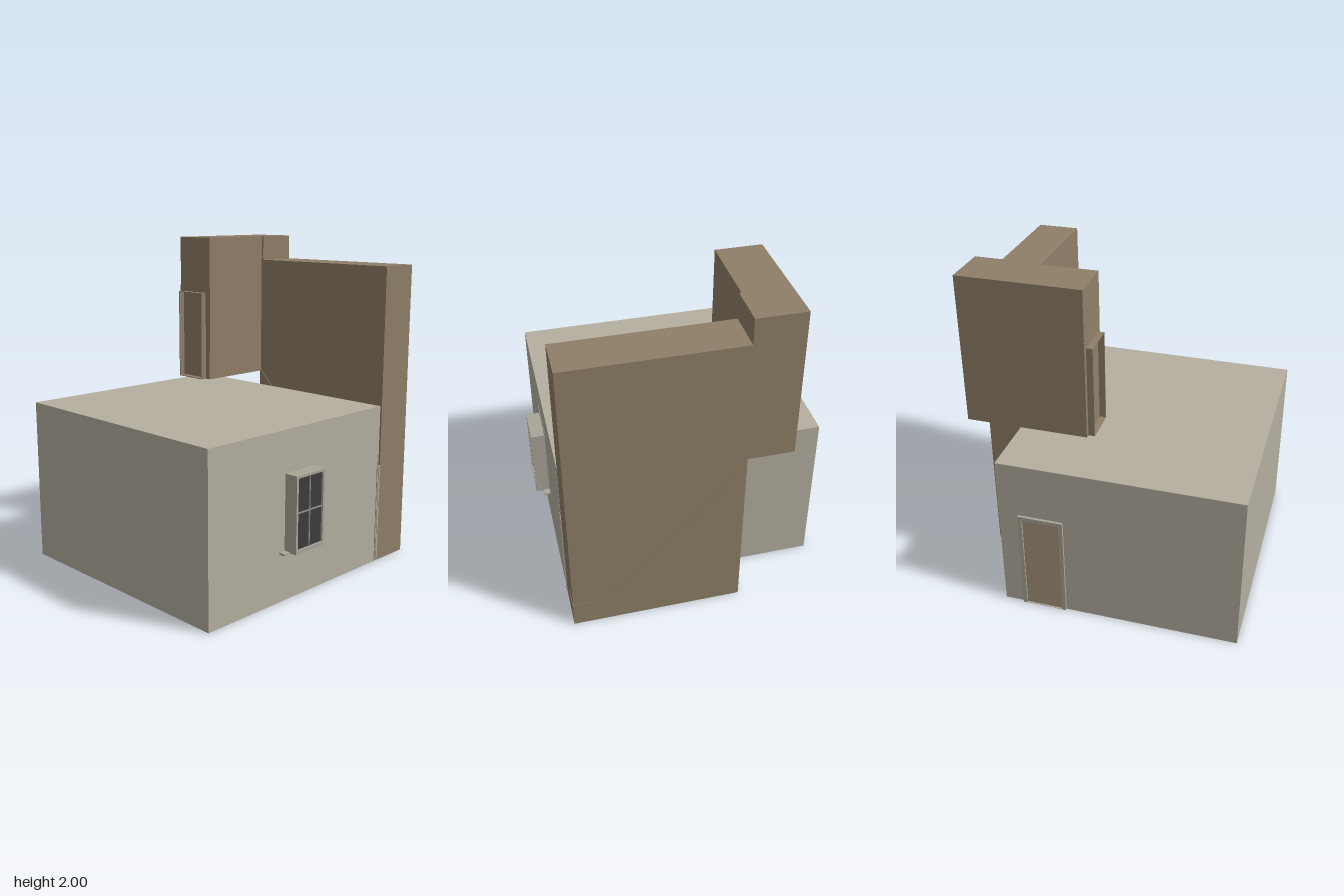
import * as THREE from 'three';

const mat = (color) => new THREE.MeshStandardMaterial({ color, flatShading: true });

export function createModel() {
  const model = new THREE.Group();
  const plaster = mat(0xb5afa0), brown = mat(0x8f7f68), trim = mat(0xaaa598);
  const doorTan = mat(0xa8957f), glass = mat(0x3c3c3c), bar = mat(0x909090);

  // Box given by its minimum and maximum on each axis
  function box(name, material, [x0, x1], [y0, y1], [z0, z1], parent = model) {
    const mesh = new THREE.Mesh(new THREE.BoxGeometry(x1 - x0, y1 - y0, z1 - z0), material);
    mesh.position.set((x0 + x1) / 2, (y0 + y1) / 2, (z0 + z1) / 2);
    mesh.name = name;
    parent.add(mesh);
    return mesh;
  }

  // Rectangular surround, extruded along +z, standing on y = 0 and centred on x
  function surround(name, material, width, height, depth, border, sill) {
    const w = width / 2, i = w - border;
    const shape = new THREE.Shape([[-w, 0], [w, 0], [w, height], [-w, height]].map((p) => new THREE.Vector2(...p)));
    shape.holes.push(new THREE.Path([[-i, sill], [-i, height - border], [i, height - border], [i, sill]].map((p) => new THREE.Vector2(...p))));
    const mesh = new THREE.Mesh(new THREE.ExtrudeGeometry(shape, { depth, bevelEnabled: false }), material);
    mesh.name = name;
    return mesh;
  }

  // Main volumes: room, stairwell and the upper corridor above them
  box('room', plaster, [-0.82, 0.745], [0, 1], [-0.585, 0.86]);
  box('stairwell', brown, [-0.28, 0.745], [0, 1.845], [-0.858, -0.6]);
  box('upperCorridor', brown, [-0.555, -0.278], [1.09, 2], [-0.858, -0.12]);
  box('stairwellHeader', brown, [-0.279, -0.265], [1.84, 2], [-0.858, -0.6]);

  // Open doorway at the corridor end
  box('corridorArchitrave', brown, [-0.56, -0.285], [1.092, 1.69], [-0.125, -0.118]);
  const niche = surround('corridorDoorway', brown, 0.215, 0.56, 0.038, 0.005, 0.005);
  niche.position.set(-0.4225, 1.09, -0.118);
  model.add(niche);

  // Room door on the right wall
  const roomDoor = new THREE.Group();
  roomDoor.name = 'roomDoor';
  roomDoor.add(surround('doorFrame', trim, 0.275, 0.655, 0.016, 0.025, 0.002));
  box('doorPanel', doorTan, [-0.113, 0.113], [0.002, 0.63], [0, 0.005], roomDoor);
  roomDoor.rotation.y = -Math.PI / 2;
  roomDoor.position.set(-0.82, 0.003, -0.3275);
  model.add(roomDoor);

  // Bay window on the left wall: local z points out of the wall
  const bay = new THREE.Group();
  bay.name = 'window';
  const frame = surround('windowFrame', trim, 0.24, 0.455, 0.085, 0.015, 0.022);
  frame.position.y = 0.295;
  bay.add(frame);
  box('windowGlass', glass, [-0.106, 0.106], [0.315, 0.736], [0, 0.072], bay);
  box('windowMullion', bar, [-0.003, 0.003], [0.315, 0.736], [0.07, 0.079], bay);
  box('windowRail', bar, [-0.106, 0.106], [0.528, 0.535], [0.07, 0.079], bay);
  box('windowSill', trim, [-0.163, 0.163], [0.288, 0.3], [0, 0.04], bay);
  box('windowLintel', plaster, [-0.155, 0.155], [0.757, 0.797], [0, 0.002], bay);
  bay.rotation.y = Math.PI / 2;
  bay.position.set(0.745, 0, 0.1525);
  model.add(bay);

  // Connecting door in the gap between room and stairwell
  const link = surround('connectingDoorFrame', trim, 0.245, 0.62, 0.014, 0.02, 0.002);
  link.position.set(0.625, 0.003, -0.6);
  model.add(link);
  box('gapTrim', trim, [0.745, 0.75], [0.003, 0.655], [-0.578, -0.57]);

  // Stair flight showing through the rear wall
  const steps = 12, rise = 0.07, run = 0.065;
  const toothShape = new THREE.Shape([[0, 0], [run, 0], [0, rise]].map((p) => new THREE.Vector2(...p)));
  const toothGeometry = new THREE.ExtrudeGeometry(toothShape, { depth: 0.004, bevelEnabled: false });
  for (let i = 0; i < steps; i++) {
    const tooth = new THREE.Mesh(toothGeometry, brown);
    tooth.name = 'stairStep';
    tooth.position.set(0.5 - (i + 1) * run, 0.21 + i * rise, -0.86);
    model.add(tooth);
  }
  box('landingEdge', brown, [0.64, 0.748], [0.16, 0.166], [-0.86, -0.74]);

  // Sloped soffit showing at the top of the stair
  const soffitShape = new THREE.Shape([[-0.28, 1], [-0.175, 1], [-0.28, 1.105]].map((p) => new THREE.Vector2(...p)));
  const soffit = new THREE.Mesh(new THREE.ExtrudeGeometry(soffitShape, { depth: 0.006, bevelEnabled: false }), brown);
  soffit.name = 'stairSoffit';
  soffit.position.z = -0.602;
  model.add(soffit);

  return model;
}
